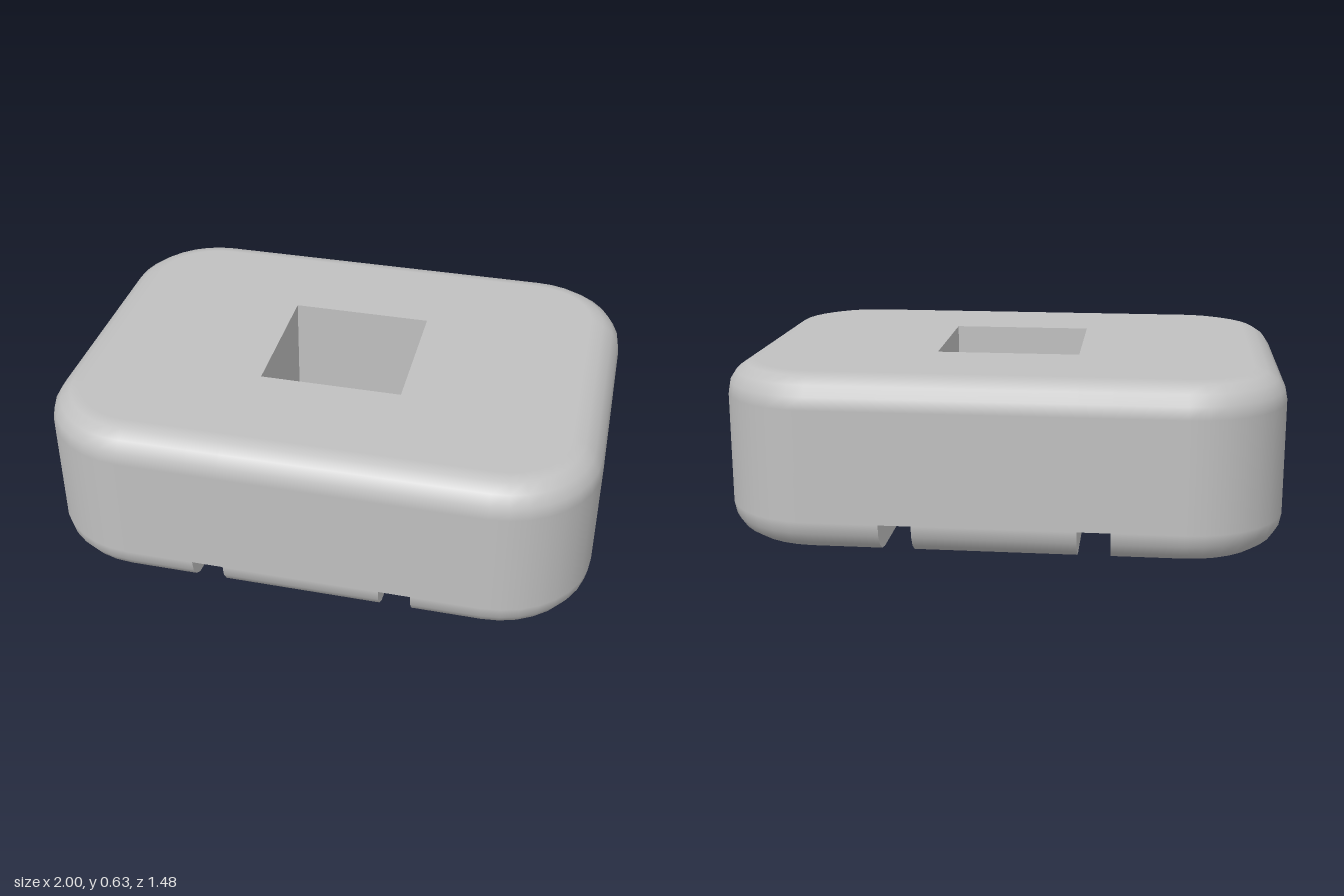
import * as THREE from 'three';

const H = 0.63, HALF_X = 1, HALF_Z = 0.74; // block size
const R = 0.35, F = 0.115, STEPS = 4;      // corner radius, edge rounding
const POCKET = 0.52, FLOOR = 0.115;        // square pocket in the top
const GROOVES = [[-0.4, -0.285], [0.285, 0.4]];
const CX = HALF_X - R, CZ = HALF_Z - R;

// Outline as core points with outward directions, running front, right, back, left
function makeOutline() {
  const pts = [];
  const breaks = GROOVES.flat();
  const corner = (sx, sz, start) => {
    for (let i = 0; i <= 8; i++) {
      const a = start - (i / 8) * Math.PI / 2;
      pts.push({ x: sx * CX, z: sz * CZ, nx: Math.cos(a), nz: Math.sin(a) });
    }
  };
  breaks.forEach(x => pts.push({ x, z: CZ, nx: 0, nz: 1 }));
  corner(1, 1, Math.PI / 2);
  corner(1, -1, 0);
  [...breaks].reverse().forEach(x => pts.push({ x, z: -CZ, nx: 0, nz: -1 }));
  corner(-1, -1, -Math.PI / 2);
  corner(-1, 1, -Math.PI);
  return pts;
}

// Rows from bottom to top: height, inset and slope of the rounded edges
function makeRows() {
  const rows = [];
  for (const top of [false, true]) {
    for (let i = 0; i <= STEPS; i++) {
      const a = (top ? i / STEPS : i / STEPS - 1) * Math.PI / 2;
      rows.push({
        y: (top ? H - F : F) + F * Math.sin(a),
        inset: F * (1 - Math.cos(a)),
        cos: Math.cos(a), sin: Math.sin(a),
      });
    }
  }
  return rows;
}

const ringPoint = (p, inset) => [p.x + (R - inset) * p.nx, p.z + (R - inset) * p.nz];
const shapeOf = pts => new THREE.Shape(pts.map(([a, b]) => new THREE.Vector2(a, b)));

// Rounded outer shell, left open where the grooves run out
function shellGeometry(outline, rows) {
  const pos = [], nor = [], idx = [], n = outline.length;
  for (const r of rows) for (const p of outline) {
    const [x, z] = ringPoint(p, r.inset);
    pos.push(x, r.y, z);
    nor.push(p.nx * r.cos, r.sin, p.nz * r.cos);
  }
  for (let j = 0; j < rows.length - 1; j++) for (let i = 0; i < n; i++) {
    const k = (i + 1) % n;
    const mid = (outline[i].x + outline[k].x) / 2;
    const straight = outline[i].nx === 0 && outline[k].nx === 0;
    if (j < STEPS && straight && GROOVES.some(([l, r]) => mid > l && mid < r)) continue;
    const a = j * n + i, b = j * n + k;
    idx.push(a, b, b + n, a, b + n, a + n);
  }
  const g = new THREE.BufferGeometry();
  g.setAttribute('position', new THREE.Float32BufferAttribute(pos, 3));
  g.setAttribute('normal', new THREE.Float32BufferAttribute(nor, 3));
  g.setIndex(idx);
  return g;
}

export function createModel() {
  const group = new THREE.Group();
  const grey = new THREE.MeshStandardMaterial({ color: 0xc0c0c0 });
  grey.name = 'grey';
  const add = (name, geo) => {
    const m = new THREE.Mesh(geo, grey);
    m.name = name;
    group.add(m);
    return m;
  };

  const outline = makeOutline(), rows = makeRows();
  add('bodyShell', shellGeometry(outline, rows));

  // Top face with the pocket opening
  const rim = outline.map(p => ringPoint(p, F));
  const topShape = shapeOf(rim);
  const h = POCKET / 2;
  topShape.holes.push(shapeOf([[-h, -h], [h, -h], [h, h], [-h, h]]));
  add('topFace', new THREE.ShapeGeometry(topShape).rotateX(-Math.PI / 2).translate(0, H, 0));

  // Pocket walls and floor
  const depth = H - FLOOR;
  for (let i = 0; i < 4; i++) {
    add('pocketWall', new THREE.PlaneGeometry(POCKET, depth)
      .translate(0, FLOOR + depth / 2, -h).rotateY(i * Math.PI / 2));
  }
  add('pocketFloor', new THREE.PlaneGeometry(POCKET, POCKET)
    .rotateX(-Math.PI / 2).translate(0, FLOOR, 0));

  // Three underside strips between the grooves
  const edges = [-HALF_X, ...GROOVES.flat(), HALF_X];
  for (let i = 0; i < edges.length; i += 2) {
    const strip = rim.filter(([x]) => x > edges[i] - 1e-6 && x < edges[i + 1] + 1e-6);
    // Order the convex strip around its own middle
    const mid = strip.reduce((s, [x]) => s + x, 0) / strip.length;
    strip.sort((a, b) => Math.atan2(a[1], a[0] - mid) - Math.atan2(b[1], b[0] - mid));
    add('underside', new THREE.ShapeGeometry(shapeOf(strip)).rotateX(Math.PI / 2));
  }

  // Groove walls follow the rounded lower edge; the ceiling is flat
  const half = rows.slice(0, STEPS + 1).map(r => [HALF_Z - r.inset, r.y]);
  const section = shapeOf([...half, ...[...half].reverse().map(([z, y]) => [-z, y])]);
  for (const [l, r] of GROOVES) {
    add('grooveWall', new THREE.ShapeGeometry(section).rotateY(Math.PI / 2).translate(l, 0, 0));
    add('grooveWall', new THREE.ShapeGeometry(section).rotateY(-Math.PI / 2).translate(r, 0, 0));
    add('grooveCeiling', new THREE.PlaneGeometry(r - l, 2 * HALF_Z)
      .rotateX(Math.PI / 2).translate((l + r) / 2, F, 0));
  }
  return group;
}
